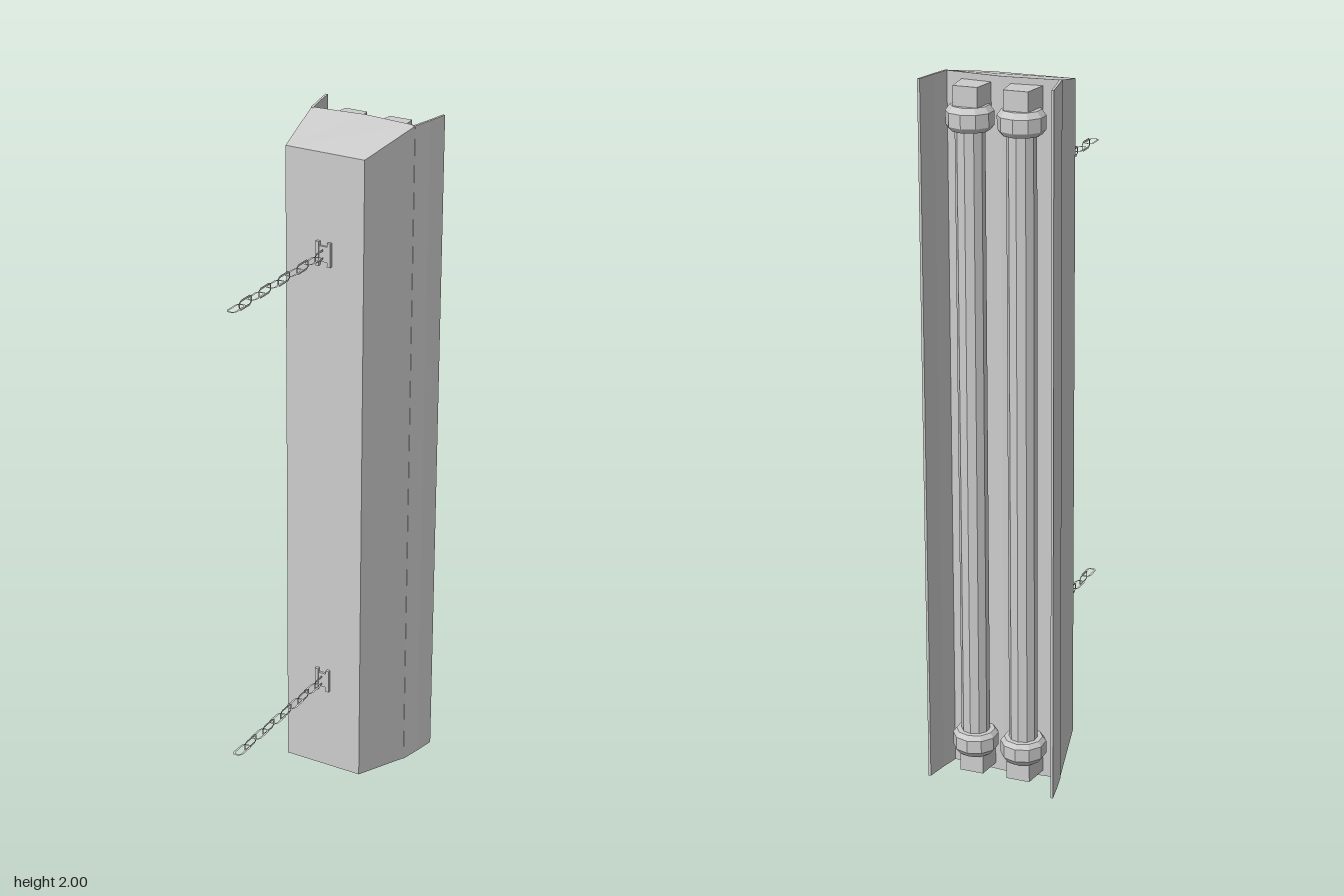
import * as THREE from 'three';

export function createModel() {
  const model = new THREE.Group();
  const metal = new THREE.MeshStandardMaterial({ color: 0xcccccc, flatShading: true, side: THREE.DoubleSide });
  metal.name = 'light grey metal';

  const add = (name, geometry, x = 0, y = 0, z = 0, parent = model) => {
    const mesh = new THREE.Mesh(geometry, metal);
    mesh.name = name;
    mesh.position.set(x, y, z);
    parent.add(mesh);
    return mesh;
  };

  // Extrudes an outline given in (x, z) upwards from y0 to y1
  const upright = (points, y0, y1) => {
    const shape = new THREE.Shape(points.map(([x, z]) => new THREE.Vector2(x, z)));
    const geometry = new THREE.ExtrudeGeometry(shape, { depth: y1 - y0, bevelEnabled: false });
    return geometry.rotateX(Math.PI / 2).translate(0, y1, 0);
  };

  // Housing: ends slope inward towards the front
  const housing = upright([[-0.122, -0.08], [-0.163, -0.29], [0, -0.305], [0.163, -0.29], [0.122, -0.08]], 0, 2);
  const p = housing.attributes.position;
  for (let i = 0; i < p.count; i++) {
    const inset = 0.043 * THREE.MathUtils.clamp((p.getZ(i) + 0.29) / 0.21, 0, 1);
    p.setY(i, p.getY(i) > 1 ? 2 - inset : inset);
  }
  housing.computeVertexNormals();
  add('housing', housing);

  // Lamp profile: slim tube with a chamfered collar at each end
  const half = [[0.04, 0.862], [0.054, 0.862], [0.064, 0.875], [0.064, 0.912], [0.052, 0.928], [0, 0.928]];
  const profile = [
    ...half.map(([r, y]) => new THREE.Vector2(r, 1 - y)).reverse(),
    ...half.map(([r, y]) => new THREE.Vector2(r, 1 + y)),
  ];

  for (const side of [-1, 1]) {
    const label = side > 0 ? 'left' : 'right';
    // Bent side reflector
    const flange = [[0.155, -0.285], [0.163, -0.285], [0.176, -0.345], [0.188, -0.41], [0.181, -0.41], [0.169, -0.345]];
    add(label + 'Reflector', upright(flange.map(([x, z]) => [x * side, z]), 0, 2));

    add(label + 'Tube', new THREE.LatheGeometry(profile, 10), side * 0.072, 0, -0.339);

    // Tapered lamp sockets
    const socket = [[-0.045, -0.285], [0.045, -0.285], [0.034, -0.376], [-0.034, -0.376]];
    for (const [y0, y1] of [[0.018, 0.08], [1.92, 1.982]]) {
      add(label + 'Socket', upright(socket, y0, y1), side * 0.07);
    }
  }

  // Flat chain link, an elongated octagon with a hole
  const outline = (w, l, c) => [[-w + c, -l], [w - c, -l], [w, -l + c * 1.6], [w, l - c * 1.6],
    [w - c, l], [-w + c, l], [-w, l - c * 1.6], [-w, -l + c * 1.6]].map(([x, y]) => new THREE.Vector2(x, y));
  const linkShape = new THREE.Shape(outline(0.015, 0.0325, 0.007));
  linkShape.holes.push(new THREE.Path(outline(0.009, 0.026, 0.003)));
  const flatLink = new THREE.ShapeGeometry(linkShape).rotateX(Math.PI / 2);
  const uprightLink = flatLink.clone().rotateZ(Math.PI / 2);

  // Hanging chains with their mounting brackets
  for (const y of [0.335, 1.67]) {
    const chain = new THREE.Group();
    chain.name = y > 1 ? 'upperChain' : 'lowerChain';
    chain.position.y = y;
    model.add(chain);
    add('bracketPlate', new THREE.BoxGeometry(0.044, 0.045, 0.008), 0, 0, -0.077, chain);
    for (const side of [-1, 1]) {
      add('bracketEdge', new THREE.BoxGeometry(0.01, 0.07, 0.011), side * 0.018, 0, -0.0755, chain);
    }
    for (let i = 0; i < 5; i++) {
      add('uprightLink', uprightLink, 0, 0, -0.06 + i * 0.0975, chain);
      add('flatLink', flatLink, 0, 0, -0.015 + i * 0.0975, chain);
    }
  }
  return model;
}
